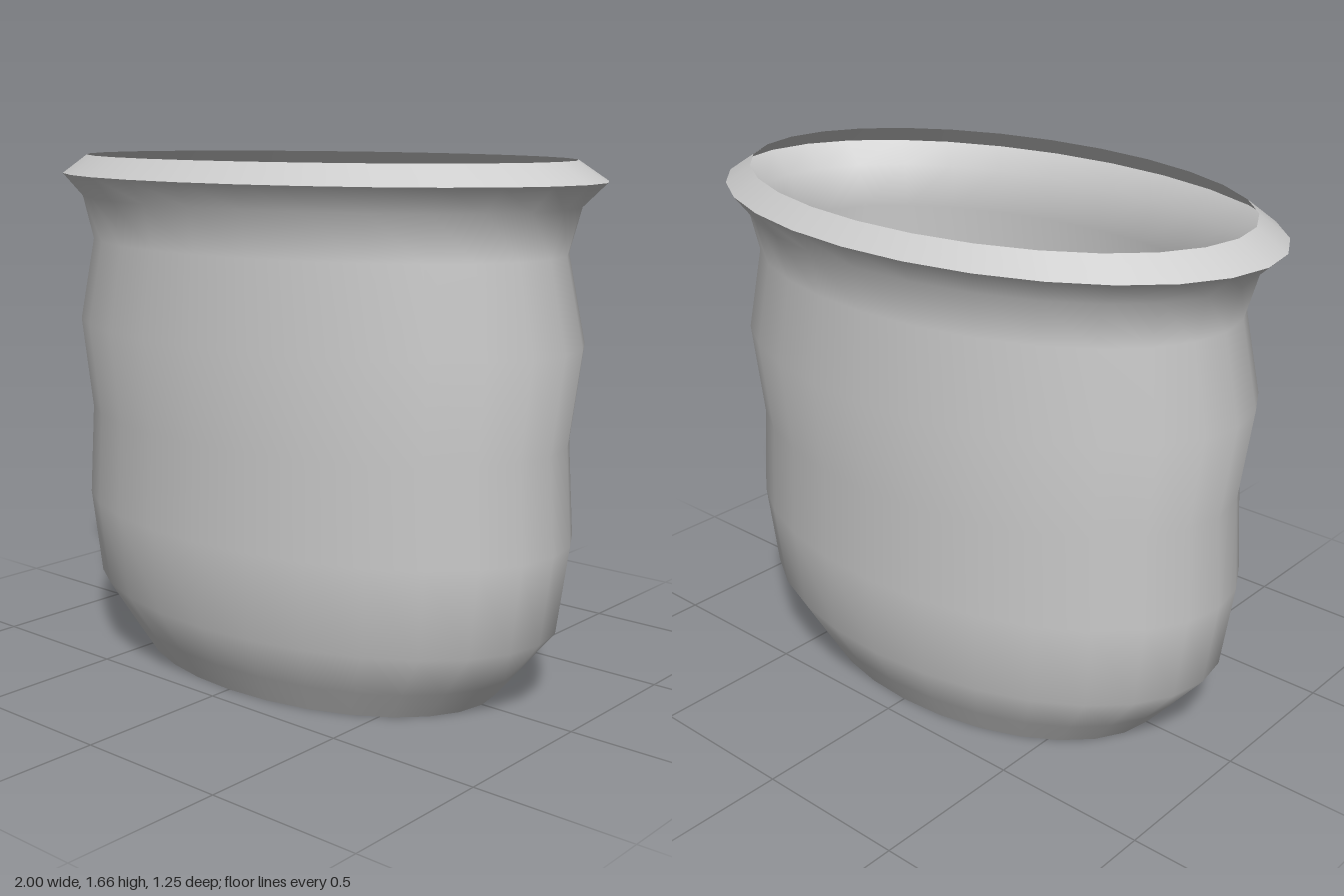
import * as THREE from 'three';

const SIDES = 28;
const DEPTH = 0.626; // oval footprint: depth relative to width

// Lathe a [radius, height] profile, then squash it to an oval
function ovalLathe(name, profile, material) {
  const points = profile.map(([r, y]) => new THREE.Vector2(r, y));
  const geometry = new THREE.LatheGeometry(points, SIDES);
  geometry.scale(1, 1, DEPTH);
  const mesh = new THREE.Mesh(geometry, material);
  mesh.name = name;
  return mesh;
}

export function createModel() {
  const group = new THREE.Group();
  group.name = 'ovalPot';

  const clay = new THREE.MeshStandardMaterial({ color: 0xcccccc, side: THREE.DoubleSide });
  clay.name = 'light grey';

  // Thin wavy wall, from the tapered foot up to the flared edge
  group.add(ovalLathe('wall', [
    [0.68, 0], [0.76, 0.095], [0.88, 0.24], [0.92, 0.52], [0.9, 0.82],
    [0.94, 1.12], [0.88, 1.39], [0.92, 1.53], [1, 1.604],
  ], clay));

  // Lip sloping back inward, with a sharp outer edge
  group.add(ovalLathe('lip', [[1, 1.604], [0.9, 1.665]], clay));

  // Flat base closing the foot
  const base = new THREE.Mesh(new THREE.CircleGeometry(0.68, SIDES), clay);
  base.geometry.rotateX(Math.PI / 2).scale(1, 1, DEPTH);
  base.name = 'base';
  group.add(base);

  return group;
}
